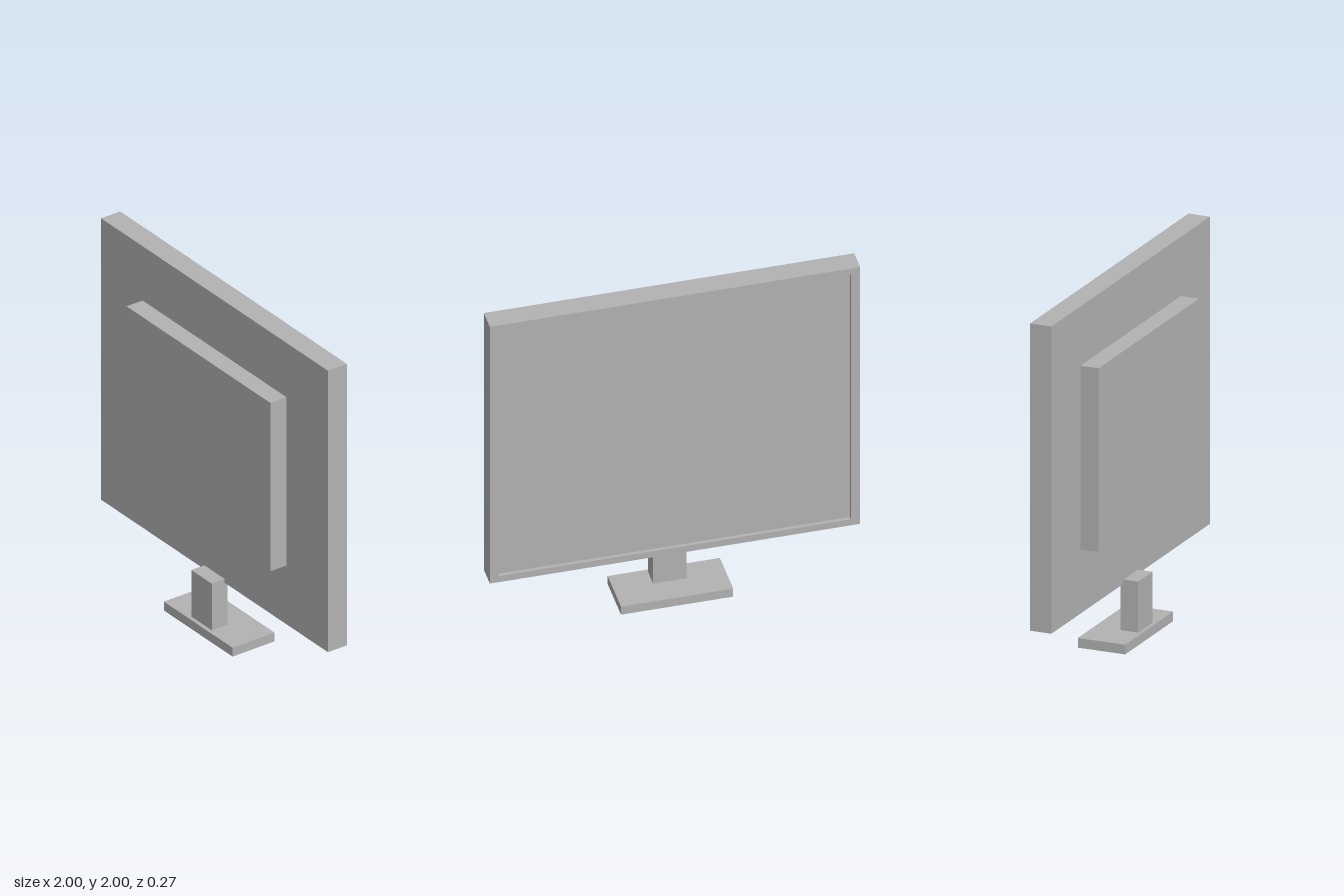
import * as THREE from 'three';

export function createModel() {
  const model = new THREE.Group();
  const grey = new THREE.MeshStandardMaterial({ color: 0xb2b2b2 });
  grey.name = 'grey plastic';

  // Box given by its limits on each axis
  const addBox = (name, [x0, x1], [y0, y1], [z0, z1]) => {
    const mesh = new THREE.Mesh(new THREE.BoxGeometry(x1 - x0, y1 - y0, z1 - z0), grey);
    mesh.position.set((x0 + x1) / 2, (y0 + y1) / 2, (z0 + z1) / 2);
    mesh.name = name;
    model.add(mesh);
  };

  // Stand
  addBox('base', [-0.303, 0.303], [0, 0.053], [-0.136, 0.136]);
  addBox('post', [-0.09, 0.09], [0.053, 0.333], [0.013, 0.114]);

  // Housing behind the display
  addBox('rearHousing', [-0.634, 0.634], [0.663, 1.674], [0.03, 0.134]);

  // Bezel: frame around the screen, which faces -z
  const bottom = 0.31, top = 2, sideRim = 0.05, endRim = 0.04;
  const back = 0.03, face = -0.093, recess = 0.02;
  const rect = (shape, x, y0, y1) =>
    shape.moveTo(-x, y0).lineTo(x, y0).lineTo(x, y1).lineTo(-x, y1).closePath();
  const outline = rect(new THREE.Shape(), 1, bottom, top);
  outline.holes.push(rect(new THREE.Path(), 1 - sideRim, bottom + endRim, top - endRim));
  const bezel = new THREE.Mesh(
    new THREE.ExtrudeGeometry(outline, { depth: back - face, bevelEnabled: false }), grey);
  bezel.position.z = face;
  bezel.name = 'bezel';
  model.add(bezel);

  // Recessed screen filling the frame through to the back
  addBox('screen', [sideRim - 1, 1 - sideRim], [bottom + endRim, top - endRim], [face + recess, back]);

  return model;
}
